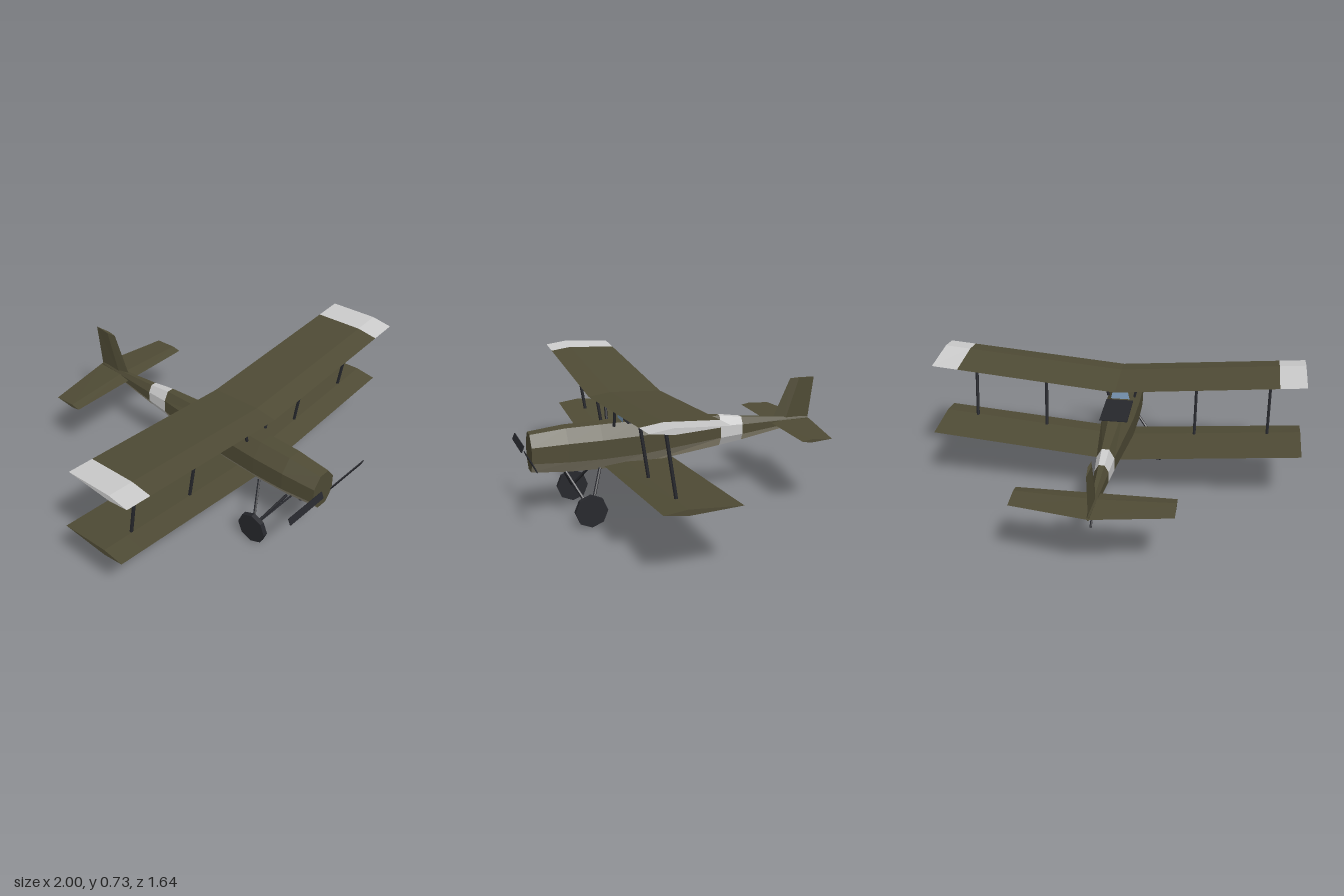
import * as THREE from 'three';

const OLIVE = 0x4f4b35, BEIGE = 0x9d967f, WHITE = 0xcccccc, DARK = 0x26272c, GLASS = 0x7f9fbd;
const materials = {};
const mat = (color) => (materials[color] ??= new THREE.MeshStandardMaterial({ color, flatShading: true, side: THREE.DoubleSide }));
const V = (x, y, z) => new THREE.Vector3(x, y, z);

function addMesh(parent, name, geometry, color) {
  const mesh = new THREE.Mesh(geometry, mat(color));
  mesh.name = name;
  parent.add(mesh);
  return mesh;
}

// Skins a row of rings and caps both ends; colorOf(i, k) paints facet k of bay i
function loft(parent, name, rings, colorOf) {
  const group = new THREE.Group();
  group.name = name;
  const n = rings[0].length, last = rings.length - 1, byColor = {};
  const tri = (color, ...pts) => pts.forEach((p) => (byColor[color] ??= []).push(p));
  for (let i = 0; i < last; i++) {
    for (let k = 0; k < n; k++) {
      const j = (k + 1) % n, c = colorOf(i, k);
      const [a, b, e, d] = [rings[i][k], rings[i][j], rings[i + 1][j], rings[i + 1][k]];
      tri(c, a, d, e);
      tri(c, a, e, b);
    }
  }
  for (let k = 1; k < n - 1; k++) {
    tri(colorOf(0, 0), rings[0][0], rings[0][k], rings[0][k + 1]);
    tri(colorOf(last - 1, 0), rings[last][0], rings[last][k + 1], rings[last][k]);
  }
  for (const [color, pts] of Object.entries(byColor)) {
    const geometry = new THREE.BufferGeometry().setFromPoints(pts);
    geometry.computeVertexNormals();
    addMesh(group, name + 'Skin', geometry, Number(color));
  }
  parent.add(group);
}

// Round bar between two points
function strut(parent, name, a, b, radius = 0.008) {
  const dir = b.clone().sub(a);
  const bar = addMesh(parent, name, new THREE.CylinderGeometry(radius, radius, dir.length(), 6), DARK);
  bar.position.copy(a).add(b).multiplyScalar(0.5);
  bar.quaternion.setFromUnitVectors(V(0, 1, 0), dir.normalize());
}

// Diamond section: leading edge, top ridge, trailing edge, bottom ridge
const foil = (x, y, front, back, half) => {
  const ridge = front + (back - front) * 0.3;
  return [V(x, y, front), V(x, y + half, ridge), V(x, y, back), V(x, y - half, ridge)];
};

export function createModel() {
  const plane = new THREE.Group();
  plane.name = 'biplane';

  // Octagonal fuselage: z, top, bottom, half width
  const stations = [
    [0.785, 0.465, 0.265, 0.077], [0.6, 0.483, 0.25, 0.093], [0.42, 0.486, 0.246, 0.095], [0.2, 0.488, 0.25, 0.088],
    [-0.25, 0.466, 0.3, 0.046], [-0.38, 0.446, 0.317, 0.036], [-0.79, 0.408, 0.383, 0.006],
  ];
  const hull = stations.map(([z, top, bottom, w]) =>
    Array.from({ length: 8 }, (_, k) => {
      const t = ((k + 0.5) * Math.PI) / 4, s = 1 / Math.cos(Math.PI / 8);
      return V(Math.cos(t) * w * s, (top + bottom) / 2 + (Math.sin(t) * (top - bottom) * s) / 2, z);
    }));
  loft(plane, 'fuselage', hull, (i, k) => (i === 4 ? WHITE : k >= 4 && k <= 6 ? BEIGE : OLIVE));

  // Two wings with dihedral; the upper one has pale tips
  const wing = (name, rootY, front, back, tip) =>
    loft(plane, name,
      [-1, -0.86, 0, 0.86, 1].map((x) =>
        foil(x, rootY + 0.084 * Math.abs(x), front, back - 0.014 * (1 - Math.abs(x)), 0.015)),
      (i, k) => ((i === 0 || i === 3) && tip ? tip : k < 2 ? OLIVE : BEIGE));
  wing('upperWing', 0.628, 0.467, 0.096, WHITE);
  wing('lowerWing', 0.258, 0.405, 0.03, null);

  // Tailplane and fin
  loft(plane, 'tailplane',
    [[-0.395, -0.73], [0, -0.8], [0.395, -0.73]].map(([x, back]) => foil(x, 0.395, -0.56, back, 0.009)),
    (i, k) => (k < 2 ? OLIVE : BEIGE));
  const finRing = (y, front, back, half) => {
    const mid = front + (back - front) * 0.35;
    return [V(0, y, back), V(half, y, mid), V(0, y, front), V(-half, y, mid)];
  };
  loft(plane, 'fin', [finRing(0.397, -0.567, -0.79, 0.01), finRing(0.634, -0.675, -0.82, 0.008)], () => OLIVE);
  strut(plane, 'tailSkid', V(0, 0.38, -0.61), V(0, 0.303, -0.72), 0.006);

  // Cockpit opening and windscreen
  addMesh(plane, 'cockpit', new THREE.BoxGeometry(0.15, 0.004, 0.26), DARK).position.set(0, 0.488, 0.153);
  const glass = new THREE.Shape([[-0.052, 0.488], [0.052, 0.488], [0.037, 0.56], [-0.037, 0.56]].map((p) => new THREE.Vector2(...p)));
  addMesh(plane, 'windscreen', new THREE.ShapeGeometry(glass), GLASS).position.z = 0.3;

  for (const s of [-1, 1]) {
    // Struts between the wings and above the fuselage
    for (const x of [0.42, 0.82]) {
      const rise = 0.084 * x;
      strut(plane, 'wingStrut', V(s * x, 0.26 + rise, 0.282), V(s * x, 0.628 + rise, 0.338), 0.009);
    }
    strut(plane, 'cabaneStrut', V(s * 0.073, 0.48, 0.355), V(s * 0.108, 0.632, 0.355));

    // Landing gear
    for (const z of [0.61, 0.43]) strut(plane, 'gearStrut', V(s * 0.055, 0.258, z), V(s * 0.205, 0.087, 0.52));
    const wheel = addMesh(plane, 'wheel', new THREE.CylinderGeometry(0.085, 0.085, 0.026, 8), DARK);
    wheel.rotation.z = Math.PI / 2;
    wheel.position.set(s * 0.207, 0.086, 0.52);

    // Propeller blade, pitched opposite ways on each side
    const blade = addMesh(plane, 'propellerBlade', new THREE.BoxGeometry(0.26, 0.036, 0.005), DARK);
    blade.rotation.x = s * 0.4;
    blade.position.set(s * 0.168, 0.368, 0.81);
  }
  strut(plane, 'axle', V(-0.205, 0.088, 0.52), V(0.205, 0.088, 0.52), 0.006);
  return plane;
}
